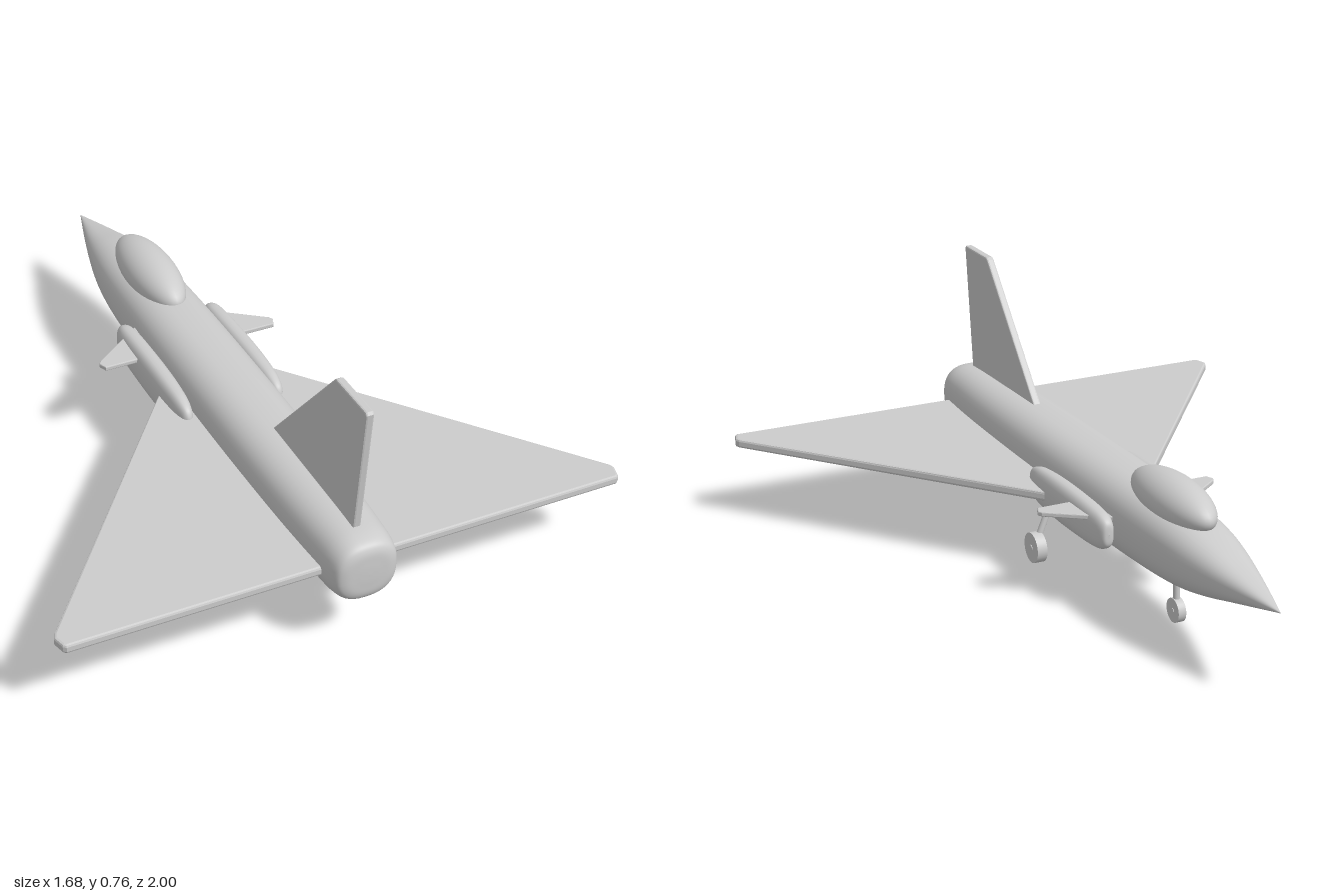
import * as THREE from 'three';

// Smooth body along z from stations [halfWidth, halfHeight, z], with a superellipse section
function loft(stations, power, rows = 90, sides = 40) {
  const curve = new THREE.CatmullRomCurve3(stations.map((s) => new THREE.Vector3(...s)));
  const positions = [], index = [];
  const round = (v) => Math.sign(v) * Math.abs(v) ** (2 / power);
  for (let i = 0; i <= rows; i++) {
    const p = curve.getPoint(i / rows);
    for (let j = 0; j < sides; j++) {
      const a = (j / sides) * Math.PI * 2;
      positions.push(p.x * round(Math.cos(a)), p.y * round(Math.sin(a)), p.z);
    }
  }
  for (let i = 0; i < rows; i++) {
    for (let j = 0; j < sides; j++) {
      const a = i * sides + j, b = i * sides + ((j + 1) % sides);
      index.push(a, b, a + sides, b, b + sides, a + sides);
    }
  }
  const geometry = new THREE.BufferGeometry();
  geometry.setAttribute('position', new THREE.Float32BufferAttribute(positions, 3));
  geometry.setIndex(index);
  geometry.computeVertexNormals();
  return geometry;
}

// Flat plate with softened edges, centred on its thickness
function plate(points, thickness, bevel) {
  const shape = new THREE.Shape(points.map(([x, y]) => new THREE.Vector2(x, y)));
  const geometry = new THREE.ExtrudeGeometry(shape, {
    depth: thickness - 2 * bevel, bevelThickness: bevel, bevelSize: bevel,
    bevelOffset: -bevel, bevelSegments: 2,
  });
  return geometry.translate(0, 0, bevel - thickness / 2);
}

export function createModel() {
  const model = new THREE.Group();
  model.name = 'deltaJet';
  const grey = new THREE.MeshStandardMaterial({ color: 0xcccccc });
  grey.name = 'lightGrey';

  const add = (name, geometry, x = 0, y = 0, z = 0, parent = model) => {
    const mesh = new THREE.Mesh(geometry, grey);
    mesh.name = name;
    mesh.position.set(x, y, z);
    parent.add(mesh);
    return mesh;
  };

  // Strut between two points
  const strut = (name, from, to, radius, parent) => {
    const a = new THREE.Vector3(...from), b = new THREE.Vector3(...to);
    const mesh = add(name, new THREE.CylinderGeometry(radius, radius, a.distanceTo(b), 16), 0, 0, 0, parent);
    mesh.position.copy(a).add(b).multiplyScalar(0.5);
    mesh.quaternion.setFromUnitVectors(new THREE.Vector3(0, 1, 0), b.sub(a).normalize());
  };

  // Wheel with a slim hub, axle along x
  const wheel = (name, radius, width, x, y, z, parent) => {
    const tyre = new THREE.CylinderGeometry(radius, radius, width, 32).rotateZ(Math.PI / 2);
    add(name, tyre, x, y, z, parent);
    const hub = new THREE.CylinderGeometry(radius * 0.2, radius * 0.2, width + 0.004, 16).rotateZ(Math.PI / 2);
    add(name + 'Hub', hub, x, y, z, parent);
  };

  // Fuselage: pointed nose at -z, blunt tail at +z
  add('fuselage', loft([
    [0.0005, 0.0005, -1], [0.031, 0.024, -0.9], [0.059, 0.048, -0.8], [0.083, 0.073, -0.7],
    [0.1, 0.092, -0.6], [0.11, 0.104, -0.48], [0.116, 0.112, -0.3], [0.119, 0.115, -0.1],
    [0.12, 0.115, 0.15], [0.119, 0.113, 0.4], [0.113, 0.109, 0.7], [0.104, 0.105, 0.88],
    [0.098, 0.099, 0.95], [0.088, 0.088, 0.983], [0.07, 0.07, 0.995], [0.035, 0.035, 0.999],
    [0.0005, 0.0005, 1],
  ], 2.5), 0, 0.263, 0);

  // Canopy bubble
  add('canopy', new THREE.SphereGeometry(1, 40, 28).scale(0.077, 0.072, 0.207), 0, 0.373, -0.425);

  // Tail fin
  const fin = plate([[0.385, 0.3], [0.785, 0.753], [0.795, 0.76], [0.955, 0.76], [0.961, 0.752], [0.913, 0.3]], 0.024, 0.005);
  add('tailFin', fin.rotateY(-Math.PI / 2));

  for (const side of [1, -1]) {
    const label = side > 0 ? 'left' : 'right';
    const half = new THREE.Group();
    half.name = label + 'Side';
    model.add(half);
    const mirror = (points) => points.map(([x, z]) => [side * x, z]);

    // Delta wing
    const wing = plate(mirror([[0.04, -0.14], [0.832, 0.862], [0.838, 0.878], [0.828, 0.913], [0.82, 0.92], [0.04, 0.92]]), 0.028, 0.007);
    add(label + 'Wing', wing.rotateX(Math.PI / 2), 0, 0.248, 0, half);

    // Canard
    const canard = plate(mirror([[0.1, -0.295], [0.278, -0.163], [0.285, -0.15], [0.275, -0.125], [0.1, -0.125]]), 0.014, 0.003);
    add(label + 'Canard', canard.rotateX(Math.PI / 2), 0, 0.282, 0, half);

    // Air intake pod beside the fuselage
    add(label + 'Intake', loft([
      [0.0005, 0.0005, -0.318], [0.016, 0.034, -0.313], [0.026, 0.05, -0.29], [0.032, 0.058, -0.24],
      [0.034, 0.063, -0.14], [0.034, 0.064, -0.02], [0.031, 0.06, 0.07], [0.026, 0.053, 0.13],
      [0.017, 0.038, 0.168], [0.008, 0.02, 0.18], [0.0005, 0.0005, 0.183],
    ], 2.5, 60, 32), side * 0.144, 0.25, 0, half);

    // Main landing gear
    strut(label + 'GearStrut', [side * 0.157, 0.06, 0.135], [side * 0.09, 0.225, 0.135], 0.01, half);
    wheel(label + 'Wheel', 0.047, 0.032, side * 0.158, 0.047, 0.135, half);
  }

  // Nose landing gear
  strut('noseGearStrut', [0, 0.05, -0.45], [0, 0.2, -0.45], 0.01, model);
  wheel('noseWheel', 0.036, 0.024, 0, 0.048, -0.45, model);

  return model;
}
